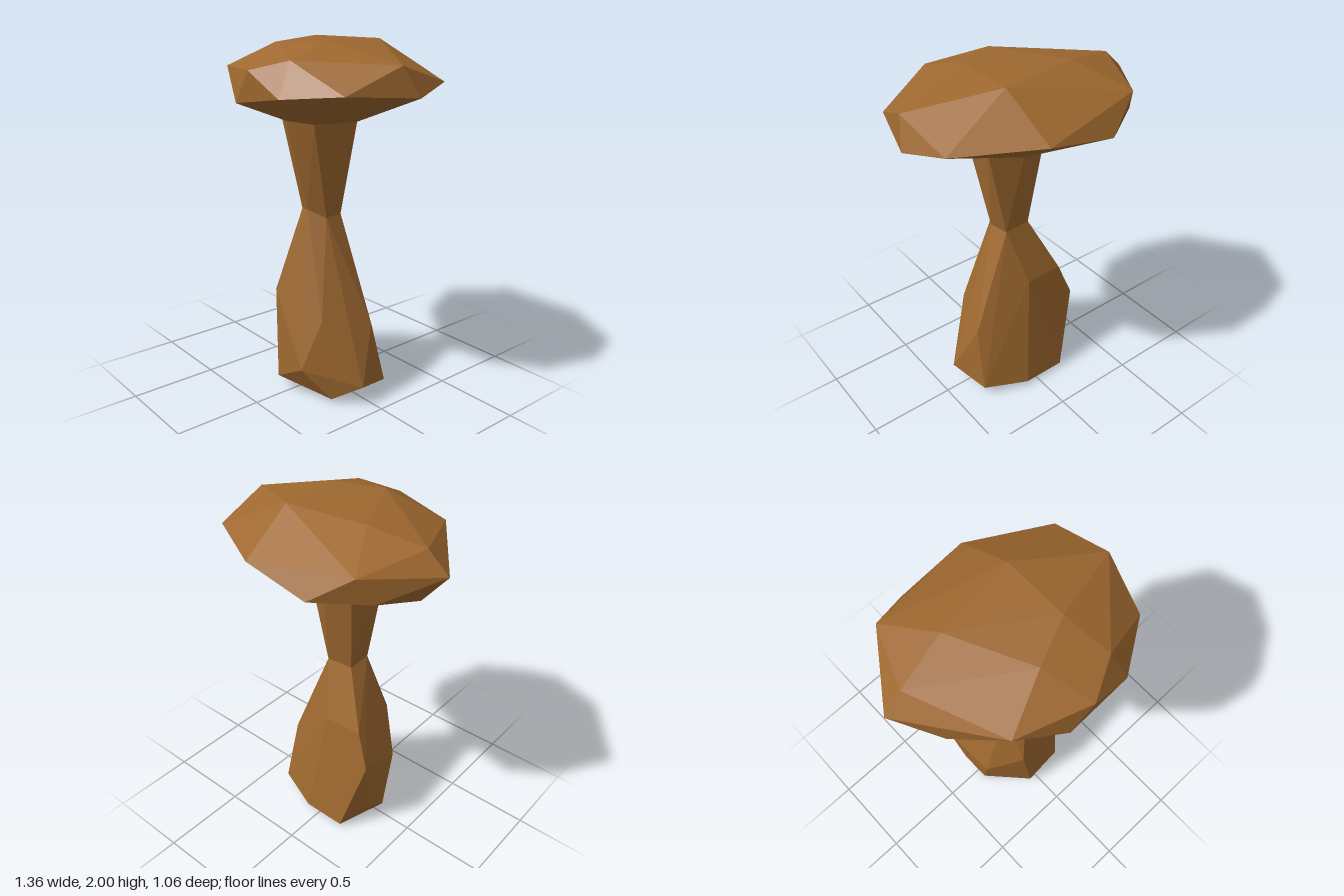
import * as THREE from 'three';
import { ConvexGeometry } from 'three/addons/geometries/ConvexGeometry.js';

// faceted stone: hull around its corner points
function stone(name, corners, material) {
  const points = corners.map(([x, y, z]) => new THREE.Vector3(x, y, z));
  const mesh = new THREE.Mesh(new ConvexGeometry(points), material);
  mesh.name = name;
  return mesh;
}

export function createModel() {
  const group = new THREE.Group();
  group.name = 'rockPillar';
  const sandstone = new THREE.MeshStandardMaterial({ color: 0x9e682f });
  sandstone.name = 'sandstone';
  sandstone.flatShading = true;

  // rings shared by neighbouring stones
  const collar = [
    [-0.16, 1.55, 0.04], [-0.12, 1.57, 0.2], [0.01, 1.585, 0.27], [0.16, 1.575, 0.2],
    [0.2, 1.57, -0.06], [0.03, 1.54, -0.14], [-0.13, 1.55, -0.1],
  ];
  const waist = [
    [-0.09, 1.055, 0.09], [0.02, 1.08, 0.14], [0.1, 1.035, 0.07],
    [0.08, 1.035, -0.05], [-0.08, 1.04, -0.04],
  ];

  // wide cap: crown, then rim corners going round
  const cap = [
    [-0.26, 2, -0.15], [0.2, 2, -0.21], [0.2, 2, 0.16], [-0.05, 1.99, 0.27],
    [0.25, 1.92, 0.42], [-0.56, 1.95, -0.08], [0.63, 1.9, 0.04], [-0.42, 1.89, -0.43],
    [-0.68, 1.84, -0.07], [-0.48, 1.75, -0.36], [-0.21, 1.74, -0.53], [0.18, 1.81, -0.52],
    [0.6, 1.8, -0.29], [0.68, 1.745, -0.04], [0.56, 1.77, 0.34], [0.29, 1.745, 0.52],
    [0.05, 1.865, 0.53], [-0.08, 1.69, 0.52], [-0.34, 1.855, 0.4], [-0.52, 1.69, 0.15],
    [-0.54, 1.67, -0.08],
  ];

  // heavy foot: shoulder corners, then the ground corners
  const foot = [
    [0.2, 0.72, 0], [-0.23, 0.71, -0.15], [0, 0.71, -0.16], [-0.11, 0.6, 0.27],
    [-0.31, 0.5, -0.18], [0.22, 0.49, 0.2], [0.32, 0.43, -0.08], [0.05, 0.44, -0.19],
    [-0.28, 0.4, 0.12], [0.16, 0.2, 0.3], [-0.28, 0.13, -0.1], [0.41, 0.115, 0.06],
    [-0.06, 0.08, 0.3], [0.34, 0.06, -0.17], [0.27, 0.02, 0.17], [-0.26, 0.005, 0.06],
    [-0.18, 0.025, -0.26], [0.08, 0.025, -0.26], [0, 0, 0.05],
  ];

  group.add(stone('cap', [...cap, ...collar], sandstone));
  group.add(stone('neck', [...collar, ...waist], sandstone));
  group.add(stone('foot', [...waist, ...foot], sandstone));
  return group;
}
